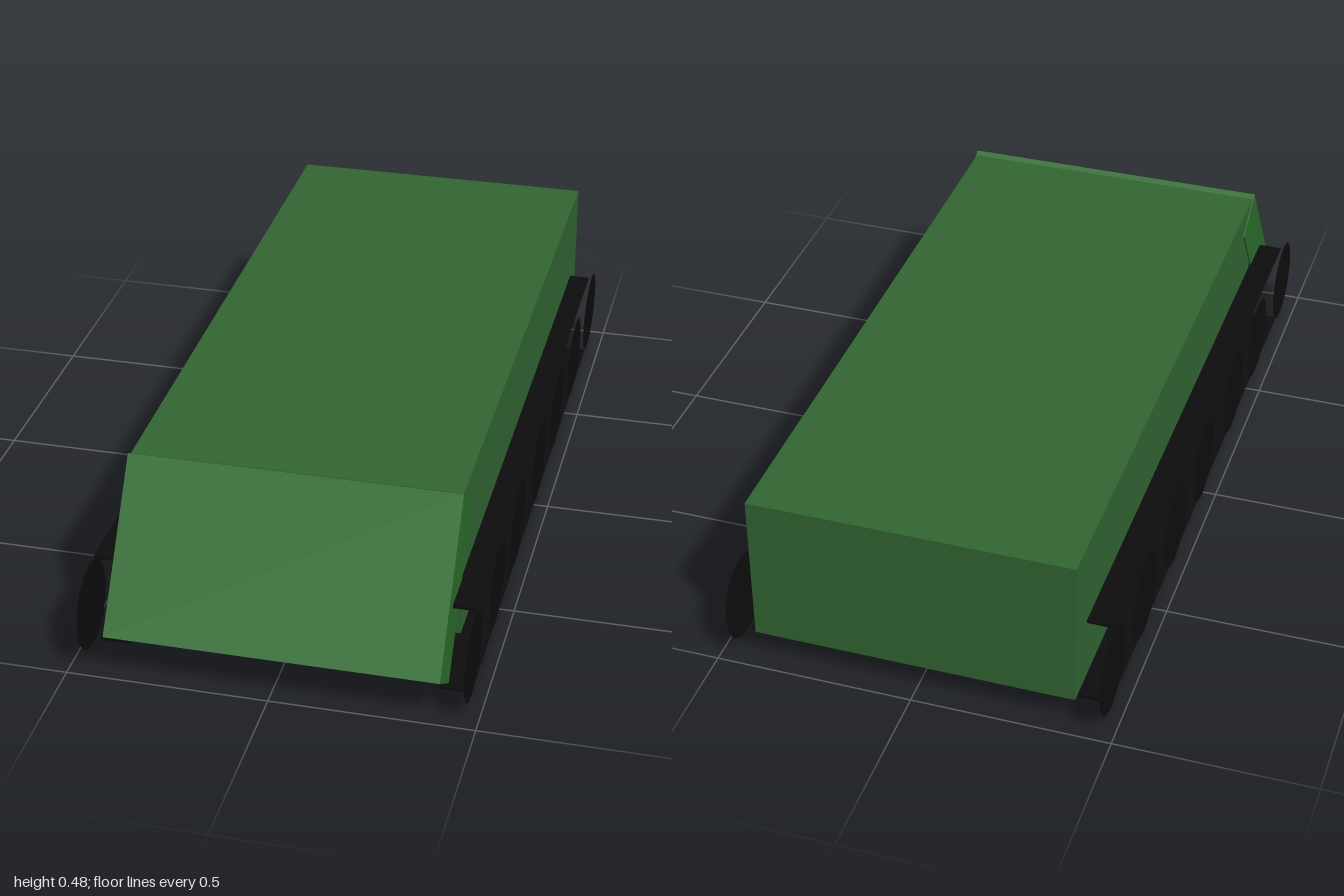
import * as THREE from 'three';

const paint = (color) => new THREE.MeshStandardMaterial({ color, flatShading: true, side: THREE.DoubleSide });

export function createModel() {
  const model = new THREE.Group();
  const hullPaint = paint(0x336633);
  const platePaint = paint(0x2a6c2a);
  const black = paint(0x0d0d0d);

  function add(name, geometry, material, x, y, z, parent = model) {
    const mesh = new THREE.Mesh(geometry, material);
    mesh.name = name;
    mesh.position.set(x, y, z);
    parent.add(mesh);
    return mesh;
  }

  // Main body
  add('hull', new THREE.BoxGeometry(0.81, 0.395, 1.7), hullPaint, 0.005, 0.278, -0.115);

  // Sloped slab across the nose
  const plate = add('frontPlate', new THREE.BoxGeometry(0.816, 0.441, 0.132), platePaint, 0.005, 0.264, 0.82);
  plate.rotation.x = -Math.atan2(0.25, 0.363);

  // Running gear: thin wheel discs between an upper and a lower track strip
  const wheelZ = [0.885, 0.575, 0.295, -0.025, -0.31, -0.605, -0.89];
  const wheel = new THREE.CircleGeometry(0.11, 16);
  const strip = new THREE.BoxGeometry(0.08, 0.007, 1.735);

  for (const side of [1, -1]) {
    const gear = new THREE.Group();
    gear.name = side > 0 ? 'leftRunningGear' : 'rightRunningGear';
    model.add(gear);
    // The left side sits slightly lower than the right
    const drop = side > 0 ? 0 : 0.006;
    for (const z of wheelZ) {
      const disc = add('wheel', wheel, black, side * 0.469, 0.127, z, gear);
      disc.rotation.set(0, side * Math.PI / 2, 0);
      disc.scale.y = 1.03;
      // Left wheels lean out a little at the top
      if (side > 0) disc.rotateX(0.02);
    }
    add('upperTrack', strip, black, side * 0.424, 0.242 + drop, -0.007, gear);
    add('lowerTrack', strip, black, side * 0.422, 0.005 + drop, -0.007, gear);
  }
  return model;
}
